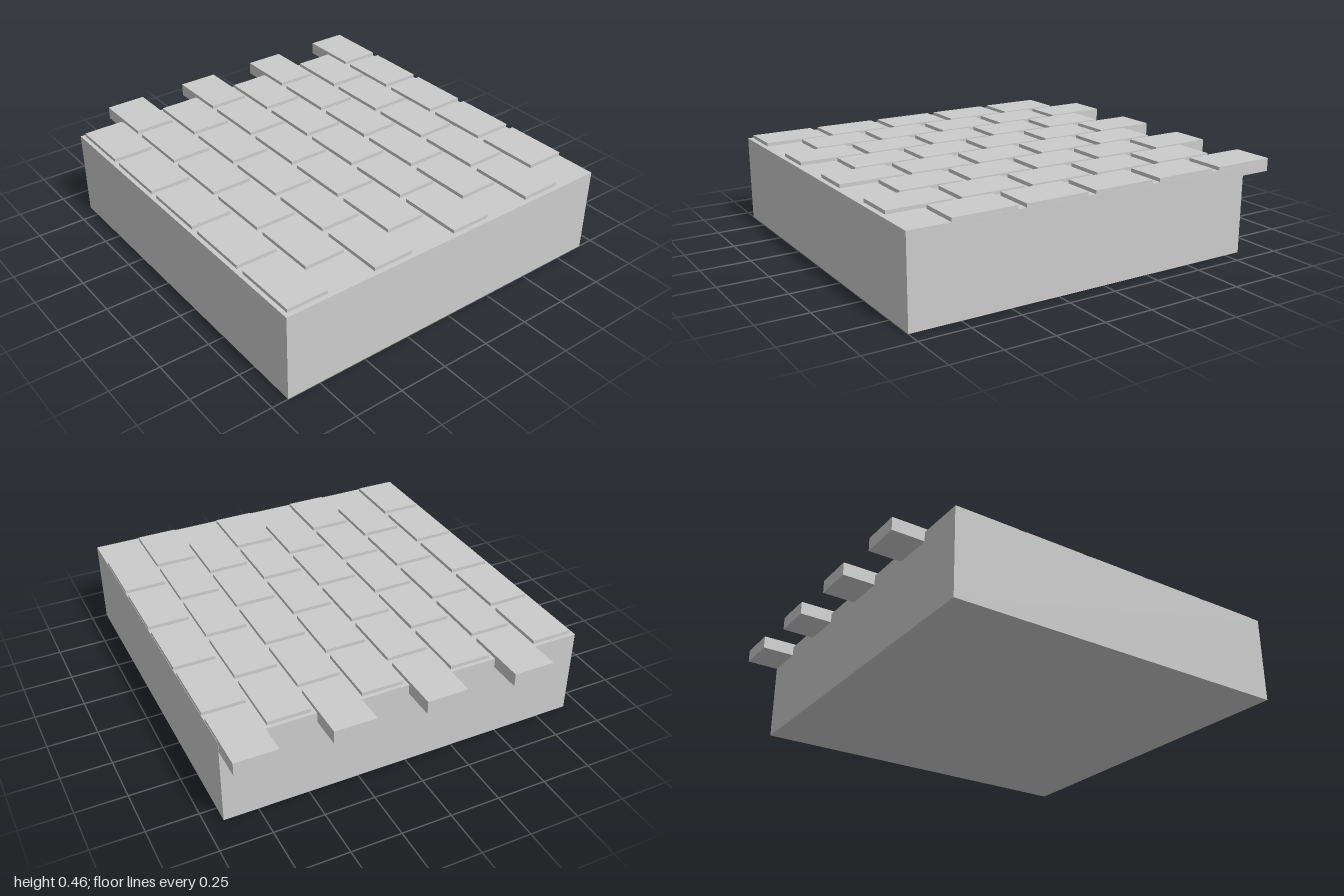
import * as THREE from 'three';

export function createModel() {
  const model = new THREE.Group();
  model.name = 'brickPanel';
  const material = new THREE.MeshStandardMaterial({ color: 0xcccccc, flatShading: true });

  // Solid slab the bricks are set into
  const slab = new THREE.Mesh(new THREE.BoxGeometry(1.835, 0.442, 1.835), material);
  slab.name = 'mortarSlab';
  slab.position.set(0.0825, 0.221, 0);
  model.add(slab);

  // Running bond: alternate rows shift by half a brick and overhang the right edge
  const rows = 8, columns = 5;
  const width = 0.324, height = 0.066, depth = 0.208;
  const pitchX = 0.367, pitchZ = 0.2293;
  const brickGeometry = new THREE.BoxGeometry(width, height, depth);
  for (let r = 0; r < rows; r++) {
    const row = new THREE.Group();
    row.name = `brickRow${r + 1}`;
    const startX = -1 + width / 2 + (r % 2) * pitchX / 2;
    for (let c = 0; c < columns; c++) {
      const brick = new THREE.Mesh(brickGeometry, material);
      brick.name = 'brick';
      brick.position.set(startX + c * pitchX, 0.46 - height / 2, -0.812 + r * pitchZ);
      row.add(brick);
    }
    model.add(row);
  }
  return model;
}
